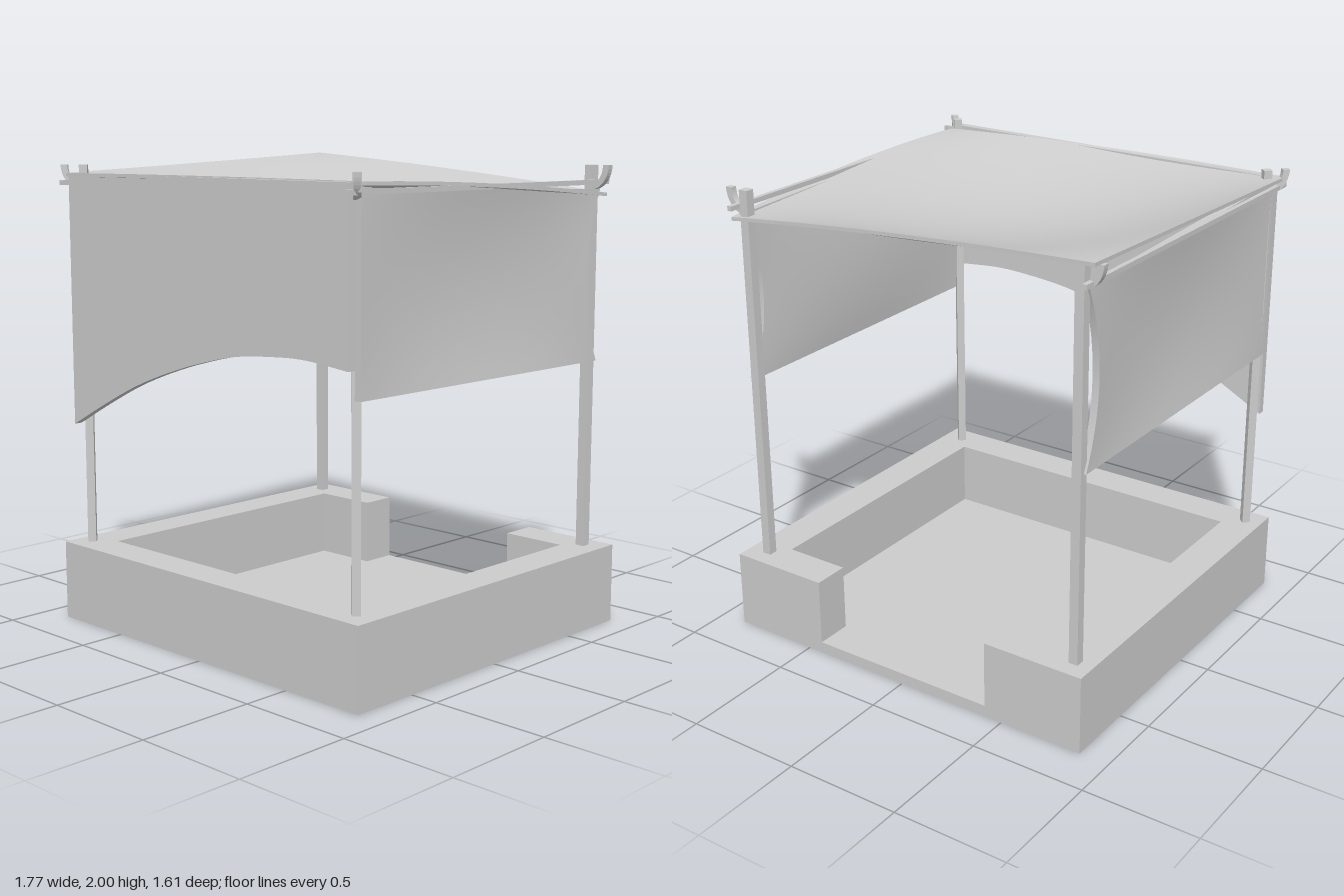
import * as THREE from 'three';

const flat = new THREE.MeshStandardMaterial({ color: 0xcccccc, flatShading: true });
const smooth = new THREE.MeshStandardMaterial({ color: 0xcccccc });
const V = (x, y, z) => new THREE.Vector3(x, y, z);
const points = (list) => list.map(([x, y]) => new THREE.Vector2(x, y));

// Moves every vertex of a geometry by a rule
function deform(geo, rule) {
  const pos = geo.attributes.position, p = V(0, 0, 0);
  for (let i = 0; i < pos.count; i++) {
    rule(p.fromBufferAttribute(pos, i));
    pos.setXYZ(i, p.x, p.y, p.z);
  }
  geo.computeVertexNormals();
  return geo;
}

export function createModel() {
  const group = new THREE.Group();
  const add = (name, geo, x = 0, y = 0, z = 0, m = flat) => {
    const mesh = new THREE.Mesh(geo, m);
    mesh.name = name;
    mesh.position.set(x, y, z);
    group.add(mesh);
    return mesh;
  };
  const extrude = (shape, depth) =>
    new THREE.ExtrudeGeometry(shape, { depth, bevelEnabled: false, curveSegments: 12 });

  // Base: floor slab and a low wall with an entrance gap at the back
  add('floor', new THREE.BoxGeometry(1.75, 0.05, 1.61), 0.005, 0.025, -0.005);
  const plan = new THREE.Shape(points([
    [-0.42, 0.81], [-0.87, 0.81], [-0.87, -0.80], [0.88, -0.80], [0.88, 0.81], [0.43, 0.81],
    [0.43, 0.65], [0.72, 0.65], [0.72, -0.64], [-0.71, -0.64], [-0.71, 0.65], [-0.42, 0.65],
  ]));
  const wall = extrude(plan, 0.29);
  wall.rotateX(-Math.PI / 2);
  add('lowWall', wall, 0, 0.05, 0);

  // Posts, each with an upturned hook; front posts and hooks are turned 45 degrees
  const hookShape = new THREE.Shape();
  hookShape.moveTo(0, 1.865);
  hookShape.bezierCurveTo(0.05, 1.87, 0.09, 1.90, 0.095, 1.97);
  hookShape.lineTo(0.066, 1.97);
  hookShape.bezierCurveTo(0.065, 1.92, 0.04, 1.895, 0, 1.893);
  const hookGeo = extrude(hookShape, 0.028);
  hookGeo.translate(0, 0, -0.014);
  const corners = [
    ['frontLeft', 0.785, 0.71, -Math.PI / 4],
    ['frontRight', -0.795, 0.71, -Math.PI * 0.75],
    ['backLeft', 0.785, -0.72, 0],
    ['backRight', -0.79, -0.72, Math.PI],
  ];
  for (const [name, x, z, turn] of corners) {
    const s = z > 0 ? 0.035 : 0.04;
    add(name + 'Post', new THREE.BoxGeometry(s, 1.63, s), x, 1.155, z).rotation.y = turn;
    add(name + 'Hook', hookGeo, x, 0, z).rotation.y = turn;
  }

  // Rods resting in the hooks
  add('frontRod', new THREE.BoxGeometry(1.73, 0.02, 0.02), 0.02, 1.91, 0.75);
  add('leftRod', new THREE.BoxGeometry(0.02, 0.02, 1.58), 0.82, 1.90, 0.005);
  add('rightRod', new THREE.BoxGeometry(0.02, 0.02, 1.58), -0.835, 1.895, 0.01);

  // Front curtain with a swept lower edge
  const front = new THREE.Shape();
  front.moveTo(-0.82, 1.935);
  front.lineTo(-0.82, 0.865);
  front.splineThru(points([
    [-0.6, 0.98], [-0.4, 1.075], [-0.2, 1.15], [0, 1.21],
    [0.2, 1.255], [0.4, 1.275], [0.58, 1.28], [0.8, 1.26],
  ]));
  front.lineTo(0.8, 1.935);
  add('frontCurtain', extrude(front, 0.035), 0, 0, 0.735);

  // Side curtains: concave rear edge, cloth drawn slightly inwards in the middle
  const sideCurtain = (inward) => deform(new THREE.BoxGeometry(0.03, 1, 1, 1, 14, 18), (p) => {
    const t = p.y + 0.5, u = p.z + 0.5;
    const rear = -0.72 + 0.32 * t * (1 - t);
    p.z = THREE.MathUtils.lerp(rear, 0.735, u);
    p.y = THREE.MathUtils.lerp(1.15, 1.87 + 0.045 * u, t);
    p.x += inward * 0.03 * 16 * t * (1 - t) * u * (1 - u);
  });
  add('leftCurtain', sideCurtain(-1), 0.815, 0, 0, smooth);
  add('rightCurtain', sideCurtain(1), -0.805, 0, 0, smooth);

  // Thin sagging roof canopy blended between four curved edges
  const BL = V(-0.89, 2.0, -0.805), BR = V(0.84, 1.855, -0.755);
  const FL = V(-0.85, 1.935, 0.77), FR = V(0.79, 1.935, 0.665);
  const edge = (a, mid, b) => new THREE.QuadraticBezierCurve3(
    a, mid.clone().multiplyScalar(2).addScaledVector(a, -0.5).addScaledVector(b, -0.5), b);
  const back = edge(BL, V(0, 1.937, -0.765), BR);
  const fore = edge(FL, V(0, 1.94, 0.757), FR);
  const west = edge(BL, V(-0.867, 1.965, 0), FL);
  const east = edge(BR, V(0.838, 1.912, 0), FR);
  const canopy = deform(new THREE.BoxGeometry(1, 1, 1, 24, 1, 24), (p) => {
    const u = p.x + 0.5, v = p.z + 0.5, drop = (0.5 - p.y) * 0.015;
    p.set(0, -drop - 0.17 * 16 * u * (1 - u) * v * (1 - v), 0)
      .addScaledVector(back.getPoint(u), 1 - v).addScaledVector(fore.getPoint(u), v)
      .addScaledVector(west.getPoint(v), 1 - u).addScaledVector(east.getPoint(v), u)
      .addScaledVector(BL, -(1 - u) * (1 - v)).addScaledVector(BR, -u * (1 - v))
      .addScaledVector(FL, -(1 - u) * v).addScaledVector(FR, -u * v);
  });
  add('canopy', canopy, 0, 0, 0, smooth);

  return group;
}
